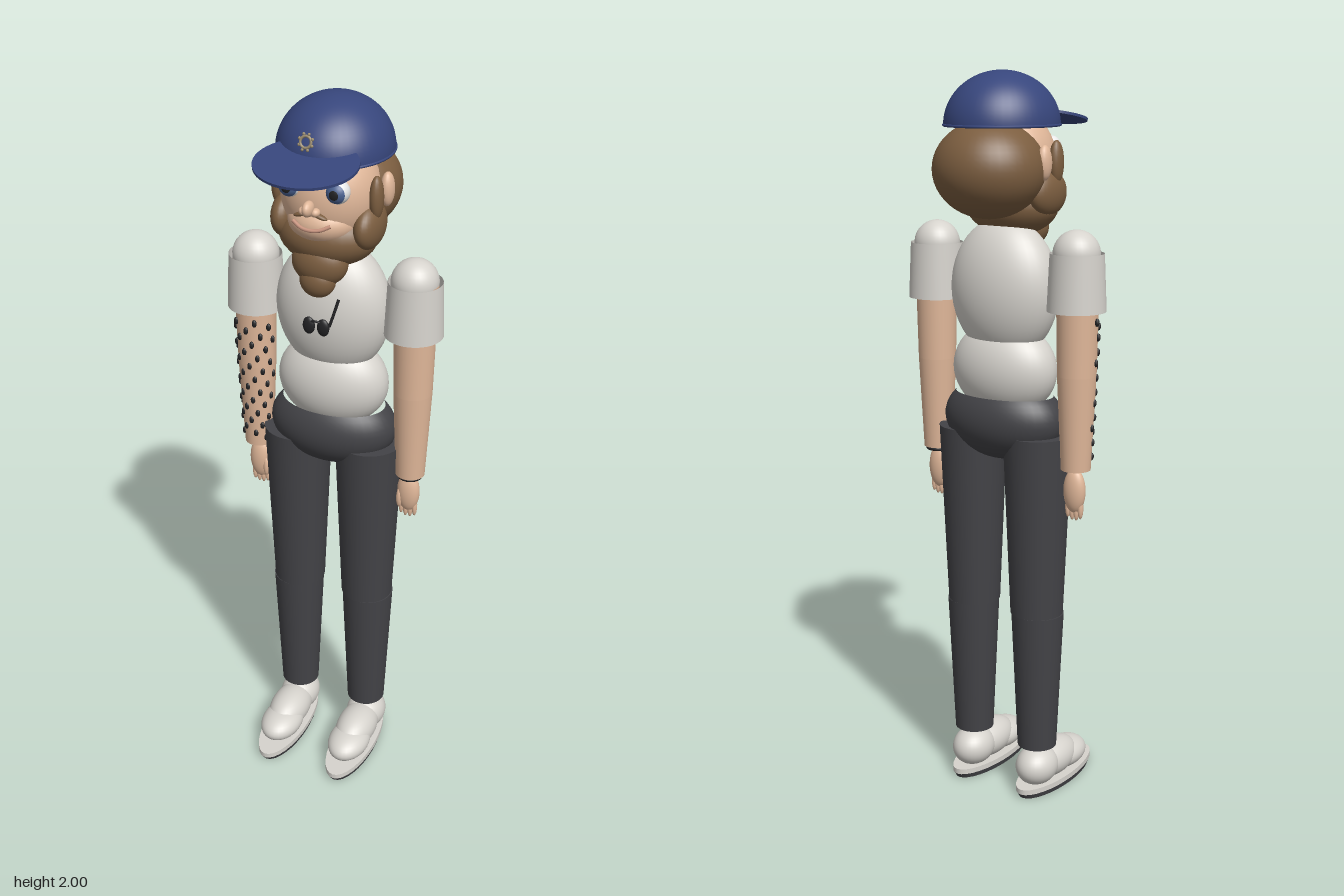
import * as THREE from 'three';

const mat = (name, color, extra = {}) => {
  const m = new THREE.MeshStandardMaterial({ color, ...extra });
  m.name = name;
  return m;
};

export function createModel() {
  const model = new THREE.Group();
  model.name = 'standingMan';
  const skin = mat('skin', 0xe0b799);
  const hair = mat('brown hair', 0x7c5e40);
  const navy = mat('navy cloth', 0x37467c, { side: THREE.DoubleSide });
  const shirt = mat('off-white cloth', 0xd6d3cd, { side: THREE.DoubleSide });
  const pants = mat('charcoal cloth', 0x434347);
  const black = mat('black', 0x222224);
  const white = mat('eye white', 0xeeeeee);
  const iris = mat('blue iris', 0x4a6190);
  const brass = mat('dull brass', 0x9a8c70);
  const lip = mat('lip', 0xc99580);

  const add = (name, geo, material, x, y, z, parent = model) => {
    const m = new THREE.Mesh(geo, material);
    m.name = name;
    m.position.set(x, y, z);
    parent.add(m);
    return m;
  };
  const ball = (name, material, [x, y, z], [rx, ry, rz], seg = 32) => {
    const m = add(name, new THREE.SphereGeometry(1, seg, Math.round(seg * 0.6)), material, x, y, z);
    m.scale.set(rx, ry, rz);
    return m;
  };
  const tube = (name, material, top, bottom, y0, y1, x, z, open = false) =>
    add(name, new THREE.CylinderGeometry(top, bottom, y1 - y0, 32, 1, open), material, x, (y0 + y1) / 2, z);
  const Z = -0.034;

  // Torso
  ball('chest', shirt, [0, 1.435, Z], [0.158, 0.19, 0.107], 40);
  ball('belly', shirt, [0, 1.22, Z], [0.155, 0.13, 0.102], 40);
  const hips = add('hips', new THREE.SphereGeometry(1, 40, 24, 0, Math.PI * 2, 0.95), pants, 0, 1.085, Z - 0.003);
  hips.scale.set(0.18, 0.115, 0.117);

  // Open collar, a thin skin patch lying on the chest
  const vee = new THREE.Shape([[-0.04, 1.54], [0, 1.455], [0.04, 1.54]].map(p => new THREE.Vector2(...p)));
  const collar = add('openCollar', new THREE.ExtrudeGeometry(vee, { depth: 0.008, bevelEnabled: false }), skin, 0, 0, 0.064);
  collar.geometry.translate(0, -1.455, 0);
  collar.position.y = 1.455;
  collar.rotation.x = -0.2;

  // Sunglasses hanging from the collar
  for (const x of [-0.02, 0.02]) ball('sunglassLens', black, [x, 1.425, 0.082], [0.017, 0.024, 0.009], 20);
  const line = (name, material, pts, r) => add(name,
    new THREE.TubeGeometry(new THREE.CatmullRomCurve3(pts.map(p => new THREE.Vector3(...p))), 16, r, 8), material, 0, 0, 0);
  line('sunglassBridge', black, [[-0.02, 1.437, 0.084], [0, 1.441, 0.086], [0.02, 1.437, 0.084]], 0.003);
  line('sunglassArm', black, [[0.036, 1.43, 0.08], [0.046, 1.465, 0.074], [0.056, 1.505, 0.065]], 0.004);

  // Limbs, mirrored
  for (const s of [-1, 1]) {
    const ax = 0.228 * s;
    ball('shoulder', shirt, [0.2235 * s, 1.542, Z], [0.0625, 0.063, 0.0625]);
    tube('sleeve', shirt, 0.071, 0.078, 1.395, 1.545, 0.225 * s, Z, true);
    tube('upperArm', skin, 0.058, 0.052, 1.225, 1.54, ax, Z);
    ball('elbow', skin, [ax, 1.225, Z], [0.052, 0.045, 0.052]);
    tube('forearm', skin, 0.052, 0.04, 0.97, 1.225, ax, Z);
    ball('palm', skin, [ax - 0.003 * s, 0.91, Z], [0.032, 0.062, 0.023]);
    for (let i = 0; i < 4; i++)
      ball('finger', skin, [ax + (i - 1.5) * 0.013 - 0.003 * s, 0.863 - (i % 3 ? 0.006 : 0), Z], [0.0075, 0.03, 0.009], 12);
    ball('thumb', skin, [ax - 0.025 * s, 0.89, Z + 0.012], [0.009, 0.03, 0.01], 12);

    tube('thigh', pants, 0.094, 0.073, 0.54, 1.05, 0.106 * s, Z);
    tube('shin', pants, 0.073, 0.055, 0.14, 0.54, 0.109 * s, Z);

    const fx = 0.111 * s;
    ball('shoeHeel', shirt, [fx, 0.075, -0.035], [0.058, 0.056, 0.07]);
    ball('shoeMiddle', shirt, [fx, 0.072, 0.04], [0.058, 0.054, 0.1]);
    ball('shoeToe', shirt, [fx, 0.062, 0.1], [0.06, 0.042, 0.087]);
    const sole = tube('soleTop', shirt, 1, 1, 0.015, 0.03, fx, 0.054);
    sole.scale.set(0.063, 1, 0.174);
    const tread = tube('soleBottom', pants, 1, 0.95, 0, 0.015, fx, 0.054);
    tread.scale.set(0.062, 1, 0.172);
  }
  const band = add('wristBand', new THREE.TorusGeometry(0.03, 0.005, 8, 24), black, 0.228, 0.964, Z);
  band.rotation.x = Math.PI / 2;

  // Dotted markings on the front of the right arm
  for (let i = 0; i < 46; i++) {
    const y = 1.37 - i * 0.0083;
    const a = Math.PI * (0.02 + ((i * 0.618) % 1) * 0.96);
    const r = 0.04 + (y - 0.97) * 0.043;
    ball('armDot', black, [-0.228 - Math.cos(a) * r, y, Z + Math.sin(a) * r], [0.007, 0.011, 0.007], 8);
  }

  // Head, hair and beard
  ball('head', skin, [0, 1.765, -0.015], [0.128, 0.145, 0.122], 40);
  ball('hairBack', hair, [0, 1.752, -0.105], [0.149, 0.127, 0.145], 40);
  ball('jaw', skin, [0, 1.703, 0.03], [0.092, 0.06, 0.085]);
  ball('beard', hair, [0, 1.655, 0], [0.132, 0.082, 0.103]);
  ball('goateeUpper', hair, [0, 1.595, 0.055], [0.075, 0.062, 0.05]);
  ball('goateeTip', hair, [0, 1.55, 0.07], [0.048, 0.045, 0.036]);
  for (const s of [-1, 1]) {
    ball('beardCheek', hair, [0.112 * s, 1.69, 0], [0.036, 0.06, 0.074]);
    ball('sideburn', hair, [0.132 * s, 1.768, 0.01], [0.018, 0.057, 0.024], 20);
    ball('ear', skin, [0.136 * s, 1.77, -0.053], [0.018, 0.045, 0.024], 20);
    const m = ball('moustache', hair, [0.024 * s, 1.741, 0.112], [0.022, 0.006, 0.009], 16);
    m.rotation.z = -0.3 * s;
    ball('noseWing', skin, [0.016 * s, 1.752, 0.118], [0.012, 0.011, 0.014], 16);

    // Eye: white ball with coloured caps facing forward
    const eye = [0.063 * s, 1.802, 0.088];
    ball('eyeball', white, eye, [0.03, 0.03, 0.03], 24);
    [['iris', iris, 0.0307, 0.95], ['pupil', black, 0.0314, 0.4]].forEach(([n, material, r, t]) => {
      const c = add(n, new THREE.SphereGeometry(r, 24, 8, 0, Math.PI * 2, 0, t), material, ...eye);
      c.rotation.x = Math.PI / 2;
    });
  }
  ball('nose', skin, [0, 1.762, 0.126], [0.014, 0.02, 0.024], 20);
  line('mouth', lip, [[-0.05, 1.716, 0.104], [-0.025, 1.705, 0.114], [0, 1.702, 0.117], [0.025, 1.705, 0.114], [0.05, 1.716, 0.104]], 0.005);

  // Cap
  const dome = add('capDome', new THREE.SphereGeometry(1, 48, 20, 0, Math.PI * 2, 0, Math.PI / 2), navy, 0, 1.862, -0.045);
  dome.scale.set(0.148, 0.138, 0.161);
  const rim = add('capRim', new THREE.TorusGeometry(1, 0.025, 8, 48), navy, 0, 1.862, -0.045);
  rim.rotation.x = Math.PI / 2;
  rim.scale.set(0.147, 0.16, 0.15);
  const brim = add('capBrim', new THREE.CylinderGeometry(1, 1, 0.007, 48), navy, 0, 1.88, 0.137);
  brim.scale.set(0.132, 1, 0.112);
  brim.rotation.x = 0.2;

  // Plain ring badge standing in front of the cap
  const badge = new THREE.Group();
  badge.name = 'capBadge';
  badge.position.set(0, 1.933, 0.136);
  badge.rotation.x = -0.28;
  model.add(badge);
  add('badgeRing', new THREE.TorusGeometry(0.014, 0.0035, 8, 24), brass, 0, 0, 0, badge);
  for (let i = 0; i < 8; i++) {
    const a = (i + 0.5) * Math.PI / 4;
    add('badgeBead', new THREE.SphereGeometry(0.004, 8, 6), brass, Math.cos(a) * 0.018, Math.sin(a) * 0.02, 0, badge);
  }
  return model;
}
